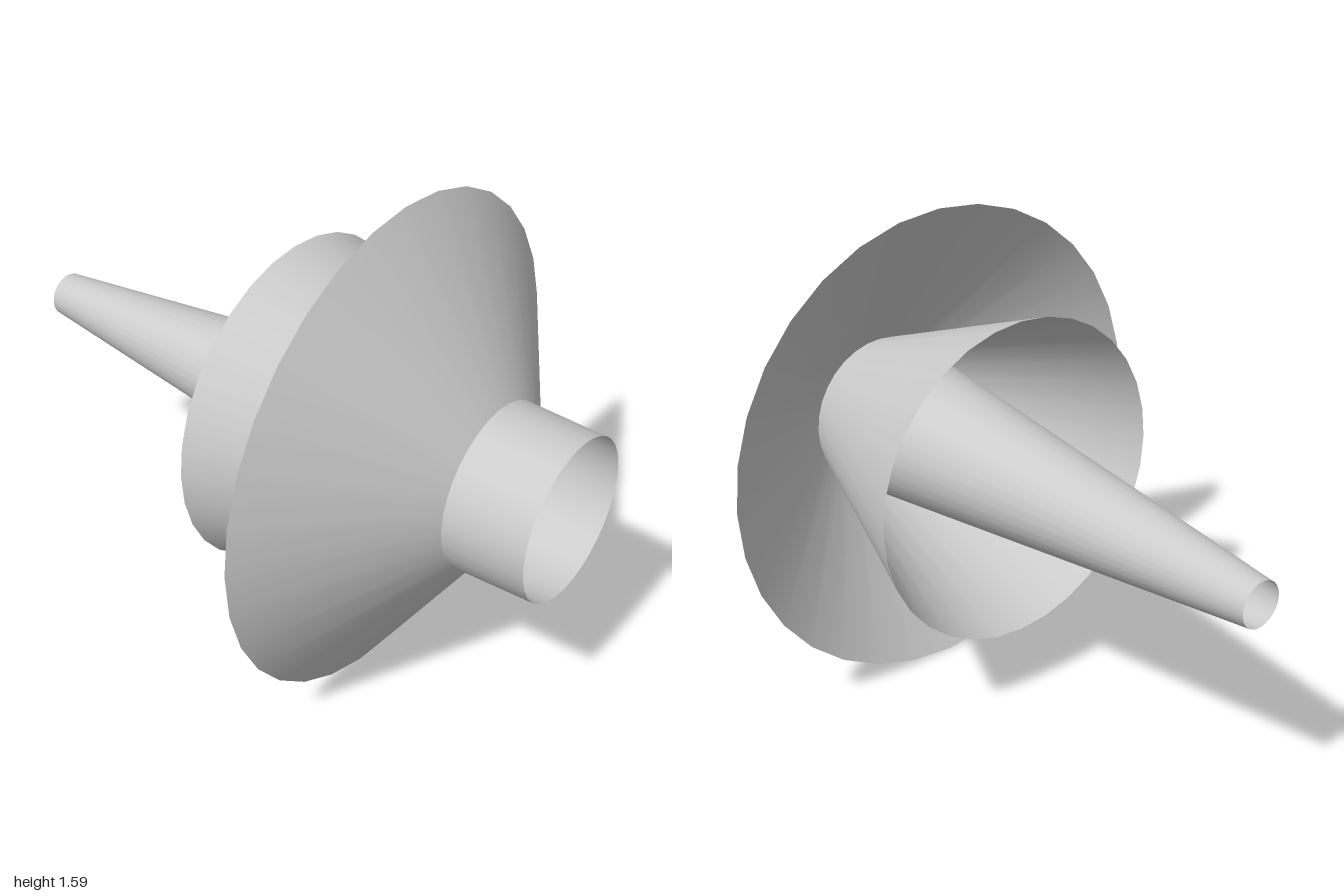
import * as THREE from 'three';

const SEGMENTS = 32;
const AXIS_Y = 0.797;   // height of the common axis
const JOINT_Z = 0.735;  // ring where all the shells meet
const JOINT_R = 0.266;

const material = new THREE.MeshStandardMaterial({ color: 0xcccccc, side: THREE.DoubleSide });

// Thin open cone along z, from its front ring to its back ring
function coneShell(name, frontZ, frontR, backZ, backR) {
  const geometry = new THREE.CylinderGeometry(frontR, backR, frontZ - backZ, SEGMENTS, 1, true);
  geometry.rotateX(Math.PI / 2);
  const mesh = new THREE.Mesh(geometry, material);
  mesh.name = name;
  mesh.position.set(0, AXIS_Y, (frontZ + backZ) / 2);
  return mesh;
}

export function createModel() {
  const model = new THREE.Group();
  model.name = 'nestedCones';
  model.add(
    // Short collar, narrowing slightly towards the front opening
    coneShell('frontCollar', 1, 0.258, JOINT_Z, JOINT_R),
    // Three nested cones sharing the joint ring
    coneShell('wideFlare', JOINT_Z, JOINT_R, 0.39, AXIS_Y),
    coneShell('middleCup', JOINT_Z, JOINT_R, 0, 0.537),
    coneShell('taperedPipe', JOINT_Z, JOINT_R, -1, 0.073),
  );
  return model;
}
